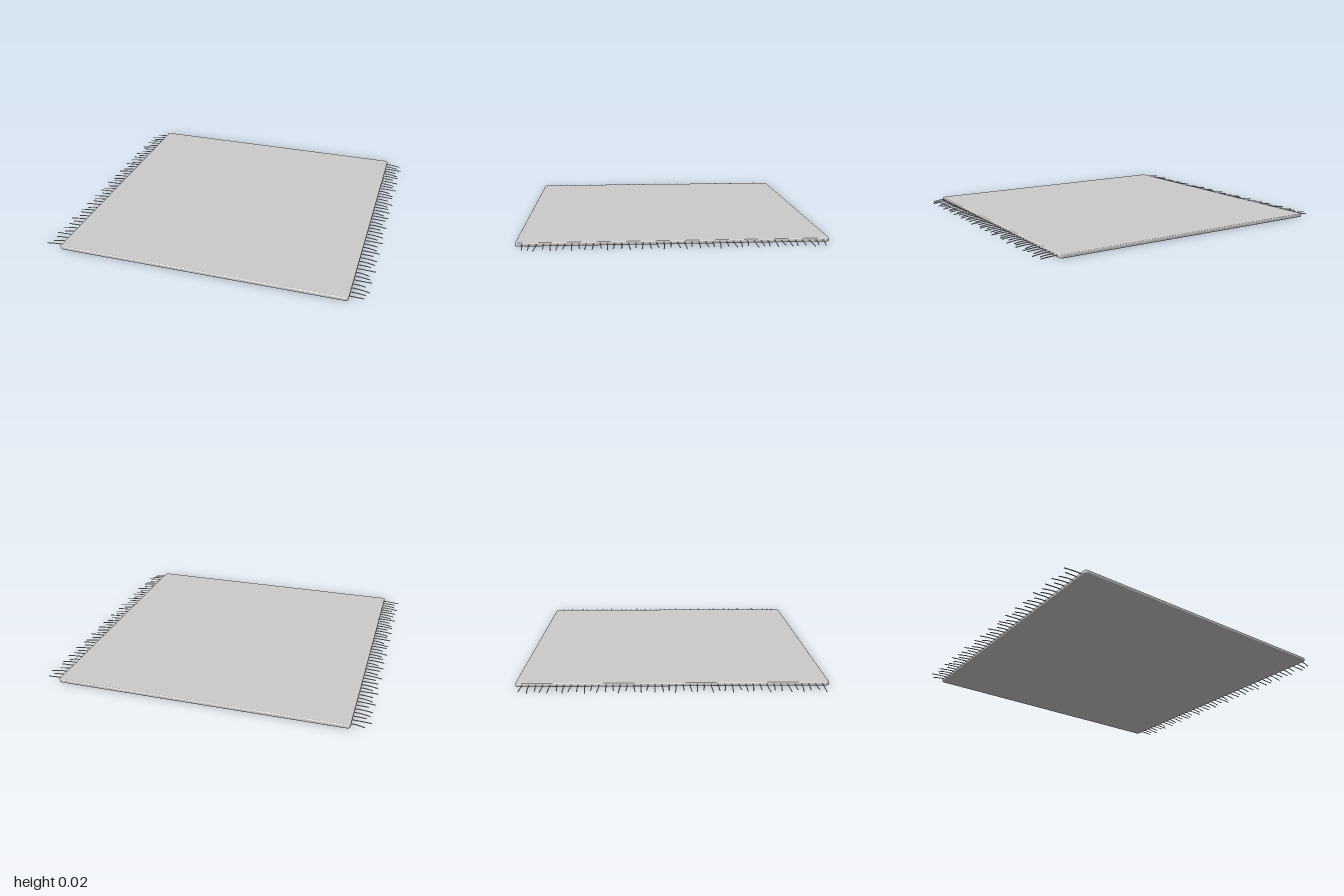
import * as THREE from 'three';

const HALF = 0.89;      // half width of the mat
const THICK = 0.022;
const BEVEL = 0.006;
const STRANDS = 44;     // fringe strands per side

const material = new THREE.MeshStandardMaterial({ color: 0xcccccc });

// Thin square mat with rounded corners and softened edges
function makeMat() {
  const h = HALF - BEVEL, r = 0.012;
  const shape = new THREE.Shape();
  shape.absarc(h - r, h - r, r, 0, Math.PI / 2);
  shape.absarc(r - h, h - r, r, Math.PI / 2, Math.PI);
  shape.absarc(r - h, r - h, r, Math.PI, Math.PI * 1.5);
  shape.absarc(h - r, r - h, r, Math.PI * 1.5, Math.PI * 2);
  const geo = new THREE.ExtrudeGeometry(shape, {
    depth: THICK - 2 * BEVEL, bevelThickness: BEVEL, bevelSize: BEVEL,
    bevelSegments: 3, curveSegments: 5,
  });
  geo.rotateX(-Math.PI / 2).translate(0, BEVEL, 0);
  const mat = new THREE.Mesh(geo, material);
  mat.name = 'mat';
  return mat;
}

// One drooping strand, bending sideways towards its tip
function makeStrand(side, z, length, bend) {
  const radius = 0.003;
  const curve = new THREE.CatmullRomCurve3([
    [-0.012, 0.011, 0],
    [length * 0.35, 0.010, bend * 0.1],
    [length * 0.7, 0.007, bend * 0.5],
    [length, radius + 0.0005, bend],
  ].map(([x, y, dz]) => new THREE.Vector3(side * (HALF + x), y, z + dz)));
  const strand = new THREE.Mesh(new THREE.TubeGeometry(curve, 8, radius, 6), material);
  strand.name = 'strand';
  // closed tip
  const tip = new THREE.Mesh(new THREE.SphereGeometry(radius, 6, 4), material);
  tip.name = 'strandTip';
  tip.position.copy(curve.getPoint(1));
  strand.add(tip);
  return strand;
}

// Row of strands along one edge, lengths and bends varying along it
function makeFringe(side) {
  const fringe = new THREE.Group();
  fringe.name = side > 0 ? 'leftFringe' : 'rightFringe';
  const offset = side > 0 ? 2 : 1;
  for (let i = 0; i < STRANDS; i++) {
    const z = -0.85 + (1.7 * i) / (STRANDS - 1);
    const wave = Math.cos((i - offset) * 0.382 * Math.PI * 2);
    const bend = 0.008 * Math.sin(i * 1.7 + side);
    fringe.add(makeStrand(side, z, 0.088 + 0.019 * wave, bend));
  }
  return fringe;
}

export function createModel() {
  const model = new THREE.Group();
  model.name = 'fringedMat';
  model.add(makeMat(), makeFringe(1), makeFringe(-1));
  return model;
}
